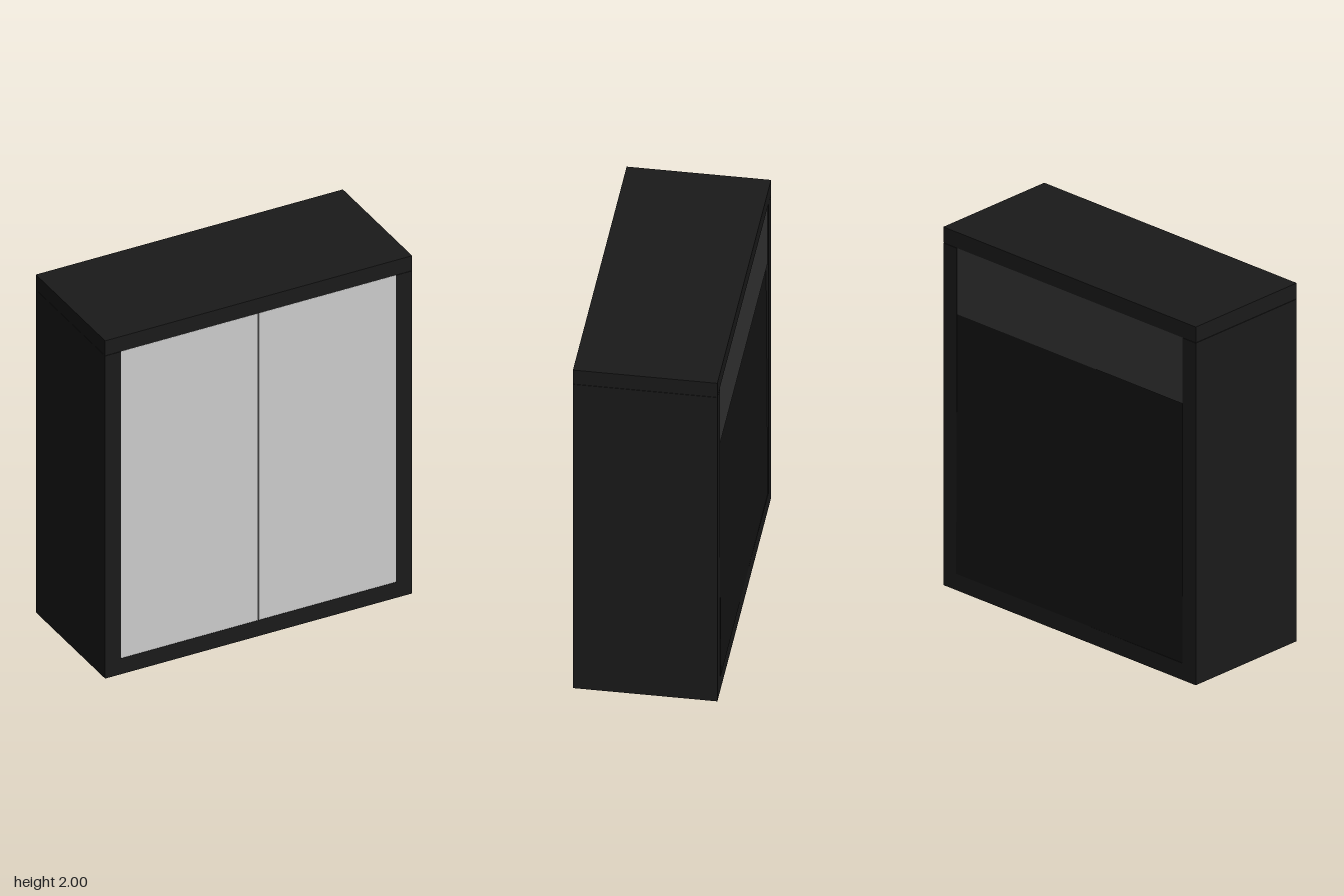
import * as THREE from 'three';

export function createModel() {
  const cabinet = new THREE.Group();
  cabinet.name = 'cabinet';

  const frameMat = new THREE.MeshStandardMaterial({ color: 0x1a1a1a });
  const doorMat = new THREE.MeshStandardMaterial({ color: 0xcccccc });
  const upperBackMat = new THREE.MeshStandardMaterial({ color: 0x333333 });
  const lowerBackMat = new THREE.MeshStandardMaterial({ color: 0x141414 });

  // Box given by its minimum and maximum corners
  function board(name, material, [x0, y0, z0], [x1, y1, z1]) {
    const mesh = new THREE.Mesh(new THREE.BoxGeometry(x1 - x0, y1 - y0, z1 - z0), material);
    mesh.position.set((x0 + x1) / 2, (y0 + y1) / 2, (z0 + z1) / 2);
    mesh.name = name;
    cabinet.add(mesh);
    return mesh;
  }

  const W = 0.885, IN = 0.793;      // outer and inner half width
  const BOTTOM = 0.093, TOP = 1.91; // opening height
  const BACK = -0.368, FRONT = 0.374;

  // Carcass: full-width top, sides below it, bottom between the sides
  board('topBoard', frameMat, [-W, TOP + 0.002, BACK], [W, 2, FRONT]);
  board('bottomBoard', frameMat, [-IN, 0, BACK], [IN, BOTTOM, FRONT]);
  board('leftSide', frameMat, [IN, 0, BACK], [W, TOP, FRONT]);
  board('rightSide', frameMat, [-W, 0, BACK], [-IN, TOP, FRONT]);

  // Two flush doors with a narrow gap between them
  board('leftDoor', doorMat, [0.003, BOTTOM, FRONT - 0.04], [IN, TOP, FRONT - 0.002]);
  board('rightDoor', doorMat, [-IN, BOTTOM, FRONT - 0.04], [-0.003, TOP, FRONT - 0.002]);

  // Back panels; the lower one leans out slightly at its foot
  board('upperBackPanel', upperBackMat, [-IN, 1.54, BACK + 0.004], [IN, TOP, BACK + 0.03]);
  const lower = board('lowerBackPanel', lowerBackMat, [-IN, BOTTOM, BACK + 0.004], [IN, 1.54, BACK + 0.03]);
  lower.rotation.set(0.006, 0.004, 0);

  return cabinet;
}
